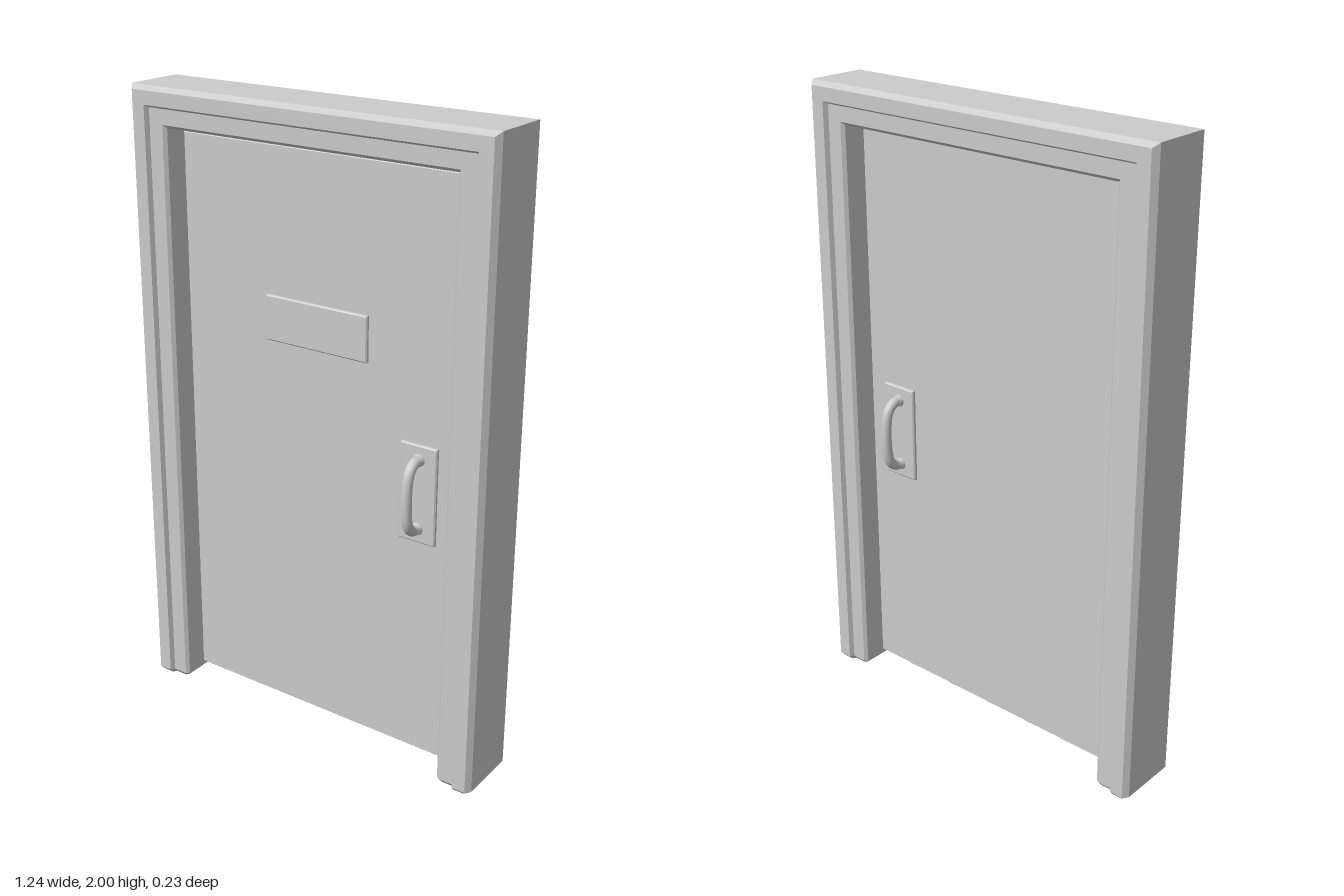
import * as THREE from 'three';

const material = new THREE.MeshStandardMaterial({ color: 0xcccccc, side: THREE.DoubleSide });

// Door frame: one moulded section swept up, across and down with mitred corners
function frameGeometry() {
  const half = [[0, 0.09], [0.01, 0.1], [0.059, 0.1], [0.067, 0.114], [0.111, 0.114], [0.125, 0.096]];
  const section = [...half, ...half.map(([u, z]) => [u, -z]).reverse()];
  // inset shrinks the section to chamfer the feet
  const ring = (side, y, inset = 0) => section.map(([u, z]) => {
    const su = 0.0625 + (u - 0.0625) * (1 - inset / 0.0625);
    const sz = z * (1 - inset / 0.114);
    return new THREE.Vector3(side * (0.497 + su), y ?? 1.88 + u * 0.96, sz);
  });
  const rings = [ring(1, 0, 0.012), ring(1, 0.014), ring(1), ring(-1), ring(-1, 0.014), ring(-1, 0, 0.012)];
  const points = [];
  for (let i = 0; i < rings.length - 1; i++) {
    for (let j = 0; j < section.length; j++) {
      const k = (j + 1) % section.length;
      const [a, b, c, d] = [rings[i][j], rings[i][k], rings[i + 1][k], rings[i + 1][j]];
      points.push(a, c, b, a, d, c);
    }
  }
  // Soles of the two jambs
  const flat = section.map(([u, z]) => new THREE.Vector2(u, z));
  for (const foot of [rings[0], rings[5]]) {
    for (const face of THREE.ShapeUtils.triangulateShape(flat, [])) {
      const [a, b, c] = face.map((n) => foot[n]);
      const normal = b.clone().sub(a).cross(c.clone().sub(a));
      points.push(...(normal.y < 0 ? [a, b, c] : [a, c, b]));
    }
  }
  const geometry = new THREE.BufferGeometry().setFromPoints(points);
  // Outer faces must point away from the opening
  geometry.computeVertexNormals();
  const p = geometry.attributes.position, n = geometry.attributes.normal;
  for (let i = 0; i < p.count; i += 3) {
    const outer = [0, 1, 2].every((k) => Math.abs(p.getX(i + k)) > 0.62);
    if (outer && n.getX(i) * p.getX(i) < 0) {
      // the sweep runs the other way round: flip every swept triangle
      const sweep = (rings.length - 1) * section.length * 6;
      for (let t = 0; t < sweep; t += 3) [points[t + 1], points[t + 2]] = [points[t + 2], points[t + 1]];
      geometry.setFromPoints(points);
      geometry.computeVertexNormals();
      break;
    }
  }
  return geometry;
}

// Rectangular slab with small chamfers, spanning z0 to z1
function slab(name, x0, x1, y0, y1, z0, z1, bevel) {
  const shape = new THREE.Shape();
  shape.moveTo(x0 + bevel, y0 + bevel);
  shape.lineTo(x1 - bevel, y0 + bevel);
  shape.lineTo(x1 - bevel, y1 - bevel);
  shape.lineTo(x0 + bevel, y1 - bevel);
  shape.closePath();
  const geometry = new THREE.ExtrudeGeometry(shape, {
    depth: z1 - z0 - 2 * bevel, bevelEnabled: true, bevelSize: bevel, bevelThickness: bevel, bevelSegments: 1,
  });
  geometry.translate(0, 0, z0 + bevel);
  const mesh = new THREE.Mesh(geometry, material);
  mesh.name = name;
  return mesh;
}

// Back plate with a bowed pull bar, facing +z
function handleSet(name) {
  const group = new THREE.Group();
  group.name = name;
  group.add(slab('handlePlate', 0.302, 0.426, 0.755, 1.065, 0.02, 0.036, 0.004));
  const x = 0.366;
  const path = new THREE.CatmullRomCurve3([
    [1.02, 0.03], [1.017, 0.062], [0.995, 0.085], [0.95, 0.095],
    [0.87, 0.095], [0.825, 0.085], [0.803, 0.062], [0.8, 0.03],
  ].map(([y, z]) => new THREE.Vector3(x, y, z)));
  const bar = new THREE.Mesh(new THREE.TubeGeometry(path, 40, 0.016, 16), material);
  bar.name = 'pullBar';
  group.add(bar);
  for (const y of [0.8, 1.02]) {
    const collar = new THREE.Mesh(new THREE.CylinderGeometry(0.017, 0.02, 0.012, 16), material);
    collar.name = 'handleCollar';
    collar.rotation.x = Math.PI / 2;
    collar.position.set(x, y, 0.041);
    group.add(collar);
  }
  return group;
}

export function createModel() {
  const model = new THREE.Group();
  model.name = 'door';

  const frame = new THREE.Mesh(frameGeometry(), material);
  frame.name = 'doorFrame';
  model.add(frame);

  model.add(slab('doorPanel', -0.491, 0.491, 0.033, 1.863, -0.025, 0.025, 0.003));
  model.add(slab('signPlate', -0.182, 0.18, 1.274, 1.416, 0.02, 0.036, 0.004));

  // Handles on both faces, on the same edge of the door
  model.add(handleSet('frontHandle'));
  const back = handleSet('backHandle');
  back.rotation.y = Math.PI;
  back.position.x = 0.728;
  model.add(back);
  return model;
}
